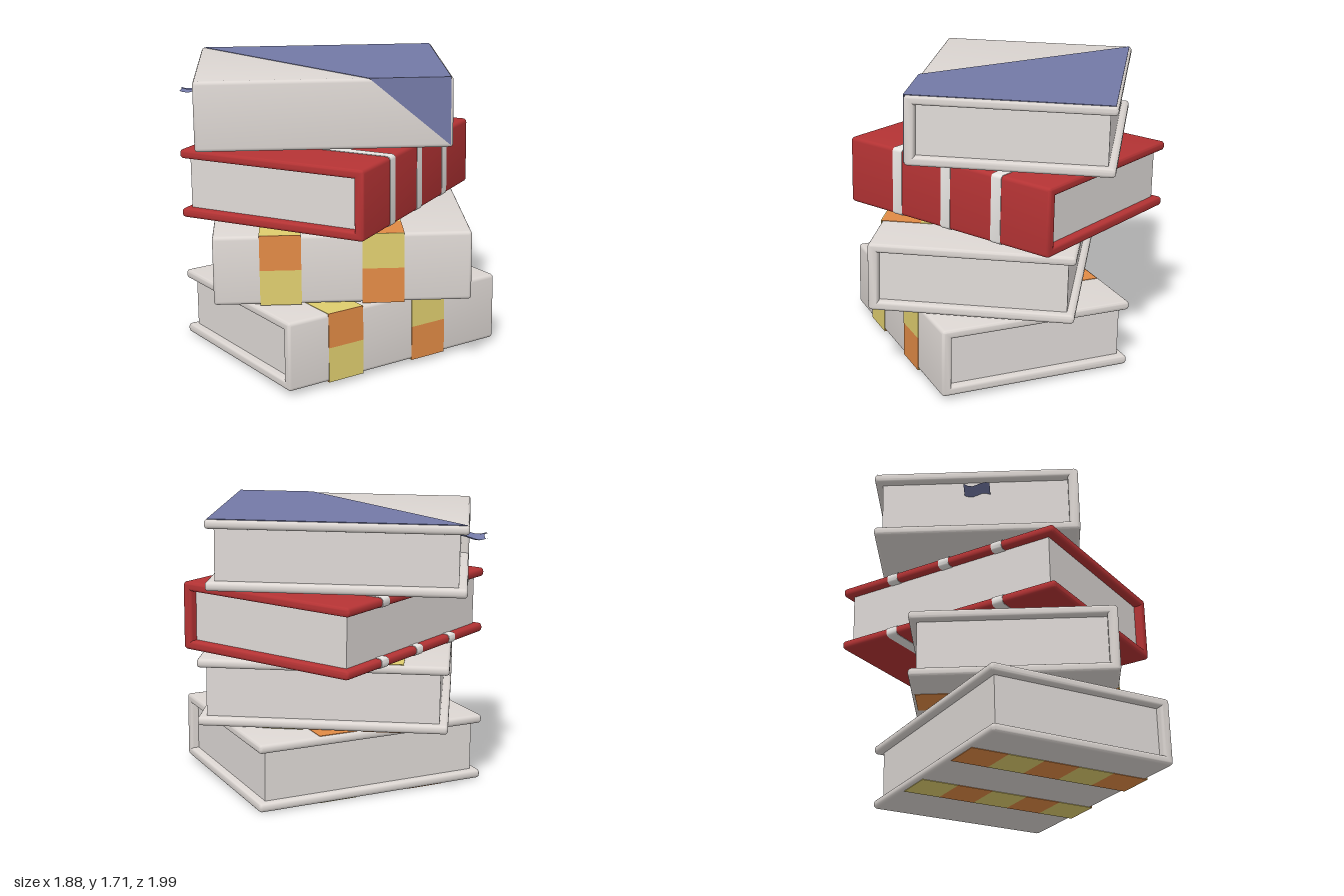
import * as THREE from 'three';
import { toCreasedNormals } from 'three/addons/utils/BufferGeometryUtils.js';

// Book size: length along the spine, depth, thickness, cover board, spine wall
const L = 1.475, D = 1.19, T = 0.408, BOARD = 0.054, SPINE = 0.06;
const SKIN = 0.003; // how far painted plates stand proud
const TILT = 0.023;

function makeMaterials() {
  const make = (name, color, side = THREE.FrontSide) => {
    const m = new THREE.MeshStandardMaterial({ color, side });
    m.name = name;
    return m;
  };
  return {
    ivory: make('ivory cover', 0xdcd6d2),
    paper: make('paper', 0xdfdad7),
    stripe: make('white stripe', 0xeeebe8),
    red: make('red cover', 0xb43334),
    orange: make('orange paint', 0xe08a45),
    yellow: make('yellow paint', 0xdecd6e),
    blue: make('blue paint', 0x7379a6, THREE.DoubleSide),
  };
}

function addMesh(group, name, geometry, material) {
  const mesh = new THREE.Mesh(geometry, material);
  mesh.name = name;
  group.add(mesh);
  return mesh;
}

// Box given by its limits on each axis
function addBlock(group, name, material, [x0, x1], [y0, y1], [z0, z1]) {
  const mesh = addMesh(group, name, new THREE.BoxGeometry(x1 - x0, y1 - y0, z1 - z0), material);
  mesh.position.set((x0 + x1) / 2, (y0 + y1) / 2, (z0 + z1) / 2);
}

// U-shaped cover with rounded outer corners; grow swells the profile all round
function coverGeometry(length, bevel, grow) {
  const h = T / 2 + grow, d = D / 2 + grow, i = T / 2 - BOARD - grow, s = SPINE - D / 2 + grow, r = 0.022;
  const shape = new THREE.Shape();
  const round = (x, y, quarter) => {
    const cx = x + (quarter === 0 || quarter === 3 ? -r : r);
    const cy = y + (quarter < 2 ? -r : r);
    shape.absarc(cx, cy, r, quarter * Math.PI / 2, (quarter + 1) * Math.PI / 2, false);
  };
  round(-d, -h, 2);
  round(d, -h, 3);
  round(d, -i, 0);
  shape.lineTo(s, -i);
  shape.lineTo(s, i);
  round(d, i, 3);
  round(d, h, 0);
  round(-d, h, 1);
  const geometry = new THREE.ExtrudeGeometry(shape, {
    depth: length - 2 * bevel, curveSegments: 2, bevelEnabled: bevel > 0,
    bevelThickness: bevel, bevelSize: bevel, bevelOffset: -bevel, bevelSegments: 4,
  });
  geometry.center();
  geometry.rotateY(Math.PI / 2);
  return toCreasedNormals(geometry, 0.6);
}

// Cover and page block
function makeBook(name, cover, paper) {
  const book = new THREE.Group();
  book.name = name;
  addMesh(book, 'cover', coverGeometry(L, 0.018, 0), cover);
  const py = T / 2 - BOARD + 0.003;
  addBlock(book, 'pages', paper, [0.05 - L / 2, L / 2 - 0.05], [-py, py], [0.045 - D / 2, D / 2 - SPINE + 0.003]);
  return book;
}

// Checked band over spine and both boards, stopping at the rounded fore edge
function addCheckedBand(book, x, first, second) {
  const h = T / 2, zFront = D / 2 - 0.002, zBack = 0.02 - D / 2, cells = 5;
  const step = (zFront - zBack) / cells;
  for (const side of [1, -1]) {
    const pair = side > 0 ? [first, second] : [second, first];
    const span = (a, b) => (side > 0 ? [a, b] : [-b, -a]);
    addBlock(book, 'spinePaint', pair[0], x, span(0, h + SKIN), [zFront, D / 2 + SKIN]);
    for (let k = 0; k < cells; k++) {
      addBlock(book, 'boardPaint', pair[(k + 1) % 2], x, span(h - 0.002, h + SKIN),
        [zFront - (k + 1) * step, zFront - k * step]);
    }
  }
}

function checkedBook(name, m) {
  const book = makeBook(name, m.ivory, m.paper);
  addCheckedBand(book, [-0.473, -0.236], m.orange, m.yellow);
  addCheckedBand(book, [0.112, 0.352], m.yellow, m.orange);
  return book;
}

function stripedBook(name, m) {
  const book = makeBook(name, m.red, m.paper);
  for (const x of [-0.364, 0.003, 0.37]) {
    addMesh(book, 'stripe', coverGeometry(0.07, 0, SKIN), m.stripe).position.x = x;
  }
  return book;
}

function plate(points) {
  const shape = new THREE.Shape(points.map(([x, y]) => new THREE.Vector2(x, y)));
  return new THREE.ExtrudeGeometry(shape, { depth: 0.004, bevelEnabled: false });
}

function bluePanelBook(name, m) {
  const book = makeBook(name, m.ivory, m.paper);
  const e = 0.015, x1 = L / 2 - e, zb = D / 2 - e, zf = D / 2 + SKIN, h = T / 2, u = 0.26;

  // Slanted panel on the top board, running on down the spine
  const top = plate([[e - L / 2, zb], [u, -zf], [x1, -zf], [x1, zb]]);
  top.rotateX(-Math.PI / 2);
  addMesh(book, 'topPanel', top, m.blue).position.y = h - 0.001;
  const spine = plate([[u, h], [x1, e - h], [x1, h]]);
  addMesh(book, 'spinePanel', spine, m.blue).position.z = D / 2 - 0.001;

  // Wavy ribbon bookmark hanging out of the page end
  const ribbon = new THREE.PlaneGeometry(0.2, 0.15, 10, 6);
  ribbon.rotateX(-Math.PI / 2);
  const p = ribbon.attributes.position;
  for (let i = 0; i < p.count; i++) {
    const x = p.getX(i), z = p.getZ(i);
    p.setY(i, 0.012 * Math.sin(z * 40) + 0.012 * Math.sin(x * 30));
    p.setX(i, x + 0.02 * (1 - (z / 0.075) ** 2));
  }
  ribbon.computeVertexNormals();
  addMesh(book, 'bookmark', ribbon, m.blue).position.set(-0.745, 0.055, 0.005);
  return book;
}

export function createModel() {
  const m = makeMaterials();
  const model = new THREE.Group();
  model.name = 'bookStack';
  const stack = new THREE.Group();
  stack.name = 'stack';
  stack.rotation.x = -TILT; // the pile leans slightly backward
  model.add(stack);

  // book, x, base height, z, turn in degrees
  const places = [
    [checkedBook('bottomBook', m), -0.009, 0.014, 0.128, 1.5],
    [checkedBook('secondBook', m), -0.01, 0.432, 0.128, -30],
    [stripedBook('thirdBook', m), 0.005, 0.862, 0.017, 30],
    [bluePanelBook('topBook', m), 0.008, 1.286, -0.083, -30],
  ];
  for (const [book, x, y, z, turn] of places) {
    book.position.set(x, y + T / 2, z);
    book.rotation.y = THREE.MathUtils.degToRad(turn);
    stack.add(book);
  }
  return model;
}
